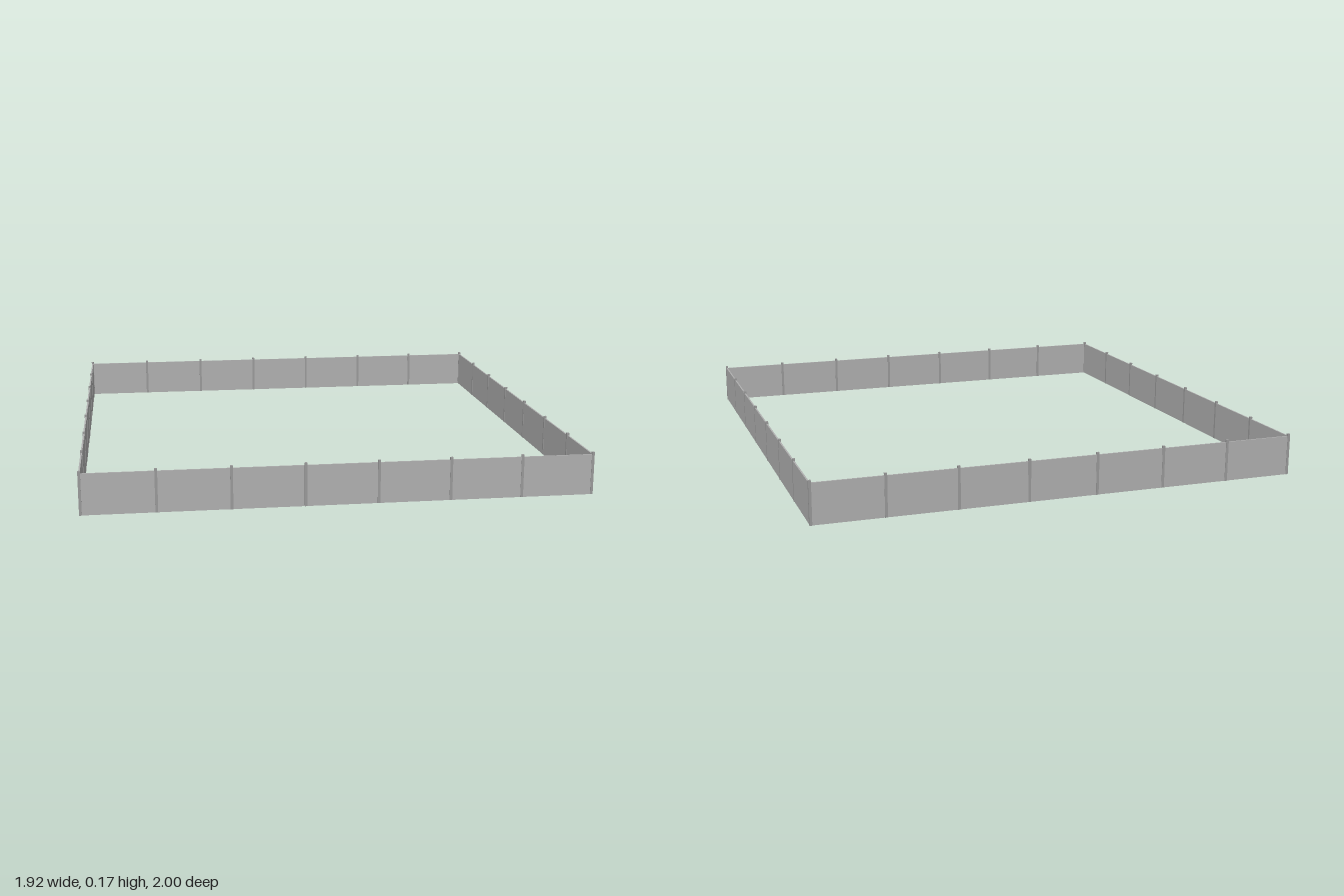
import * as THREE from 'three';

export function createModel() {
  const group = new THREE.Group();
  group.name = 'fenceEnclosure';
  const grey = new THREE.MeshStandardMaterial({ color: 0xb0b0b0 });
  grey.name = 'panelGrey';
  const postGrey = new THREE.MeshStandardMaterial({ color: 0x9a9a9a });
  postGrey.name = 'postGrey';

  const X = 0.953, Z = 0.995, BAYS = 7;
  const POST = 0.01, POST_H = 0.165, PANEL_H = 0.156, THICK = 0.006;

  const addBox = (name, w, h, d, x, z, material) => {
    const mesh = new THREE.Mesh(new THREE.BoxGeometry(w, h, d), material);
    mesh.name = name;
    mesh.position.set(x, h / 2, z);
    group.add(mesh);
  };

  // Posts and panels along opposite pairs of sides
  const stepX = (2 * X) / BAYS, stepZ = (2 * Z) / BAYS;
  for (const side of [-1, 1]) {
    for (let i = 0; i < BAYS; i++) {
      const x = -X + i * stepX, z = -Z + i * stepZ;
      // Front and back bays
      addBox('panel', stepX - POST, PANEL_H, THICK, x + stepX / 2, side * Z, grey);
      if (i > 0) addBox('post', POST, POST_H, POST, x, side * Z, postGrey);
      // Left and right bays
      addBox('panel', THICK, PANEL_H, stepZ - POST, side * X, z + stepZ / 2, grey);
      if (i > 0) addBox('post', POST, POST_H, POST, side * X, z, postGrey);
    }
    // Corner posts
    for (const end of [-1, 1]) addBox('cornerPost', POST, POST_H, POST, side * X, end * Z, postGrey);
  }
  return group;
}
